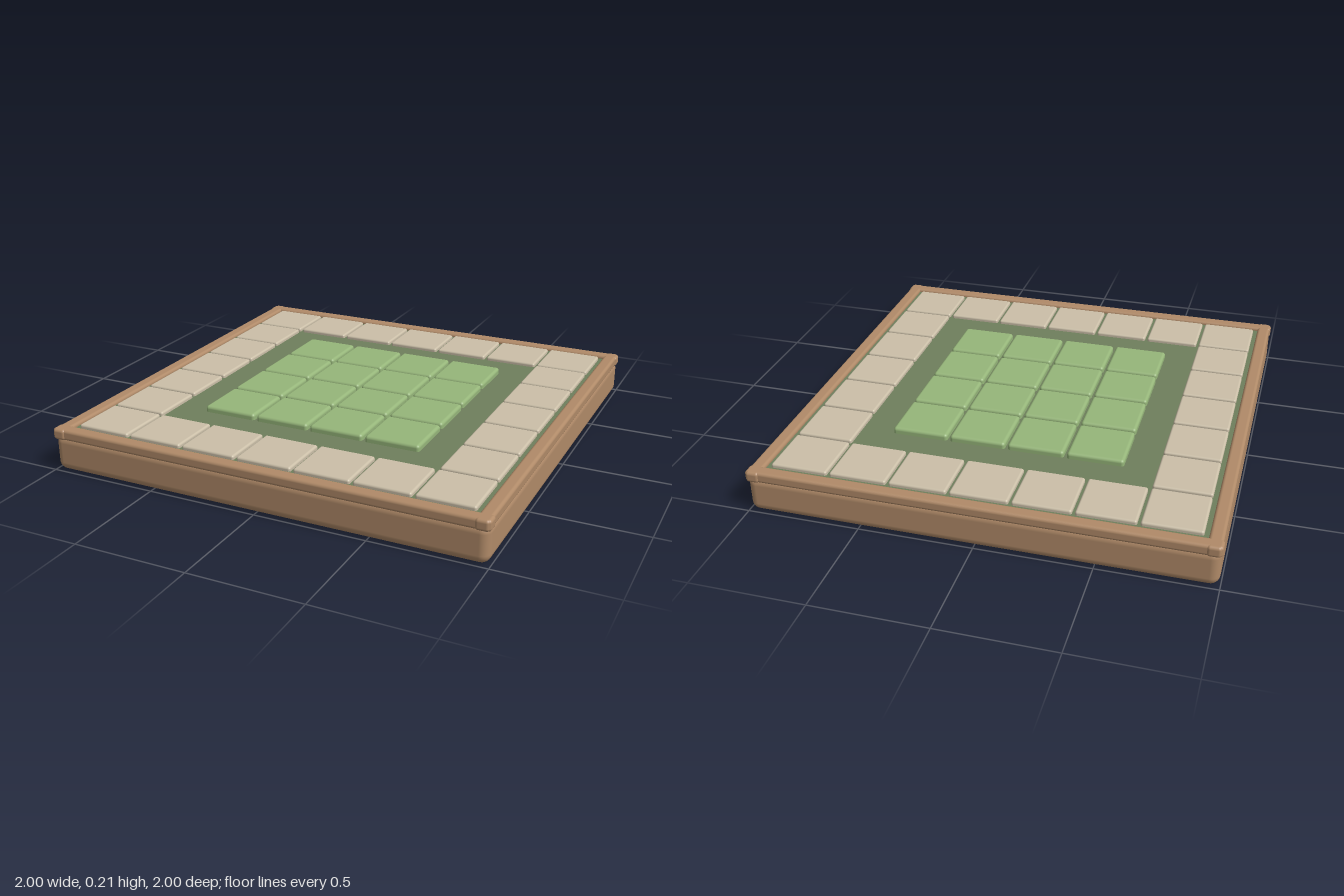
import * as THREE from 'three';
import { RoundedBoxGeometry } from 'three/addons/geometries/RoundedBoxGeometry.js';

const material = (name, color) => {
  const m = new THREE.MeshStandardMaterial({ color });
  m.name = name;
  return m;
};

export function createModel() {
  const wood = material('warm wood', 0xb08a68);
  const moss = material('dark moss', 0x6f7f5c);
  const stone = material('pale stone', 0xcbbfa8);
  const grass = material('light grass', 0x96b67a);

  const model = new THREE.Group();
  model.name = 'tiledBoard';

  const add = (name, geometry, mat, x, y, z, parent = model) => {
    const mesh = new THREE.Mesh(geometry, mat);
    mesh.name = name;
    mesh.position.set(x, y, z);
    parent.add(mesh);
    return mesh;
  };
  const group = (name) => {
    const g = new THREE.Group();
    g.name = name;
    model.add(g);
    return g;
  };

  // Thick rounded tray and the mossy bed lying on it
  add('base', new RoundedBoxGeometry(1.99, 0.17, 1.99, 4, 0.04), wood, 0, 0.085, 0);
  add('bed', new THREE.BoxGeometry(1.89, 0.03, 1.89), moss, 0, 0.165, 0);

  // Four rim bars, overlapping at the corners
  const rim = group('rim');
  const barX = new RoundedBoxGeometry(2, 0.05, 0.06, 3, 0.014);
  const barZ = new RoundedBoxGeometry(0.06, 0.05, 2, 3, 0.014);
  for (const side of [-1, 1]) {
    add(side > 0 ? 'frontRim' : 'backRim', barX, wood, 0, 0.171, side * 0.965, rim);
    add(side > 0 ? 'leftRim' : 'rightRim', barZ, wood, side * 0.965, 0.171, 0, rim);
  }

  // Ring of stone tiles around the edge, 7 per side
  const pitch = 0.2633;
  const path = group('stonePath');
  const stoneTile = new RoundedBoxGeometry(0.25, 0.04, 0.25, 3, 0.01);
  for (let i = -3; i <= 3; i++) {
    for (let j = -3; j <= 3; j++) {
      if (Math.max(Math.abs(i), Math.abs(j)) === 3) {
        add('stoneTile', stoneTile, stone, i * pitch, 0.178, j * pitch, path);
      }
    }
  }

  // Central 4 x 4 patch of raised grass tiles
  const lawn = group('lawn');
  const grassTile = new RoundedBoxGeometry(0.25, 0.05, 0.25, 3, 0.014);
  for (let i = -1.5; i <= 1.5; i++) {
    for (let j = -1.5; j <= 1.5; j++) {
      add('grassTile', grassTile, grass, i * pitch, 0.183, j * pitch, lawn);
    }
  }

  return model;
}
